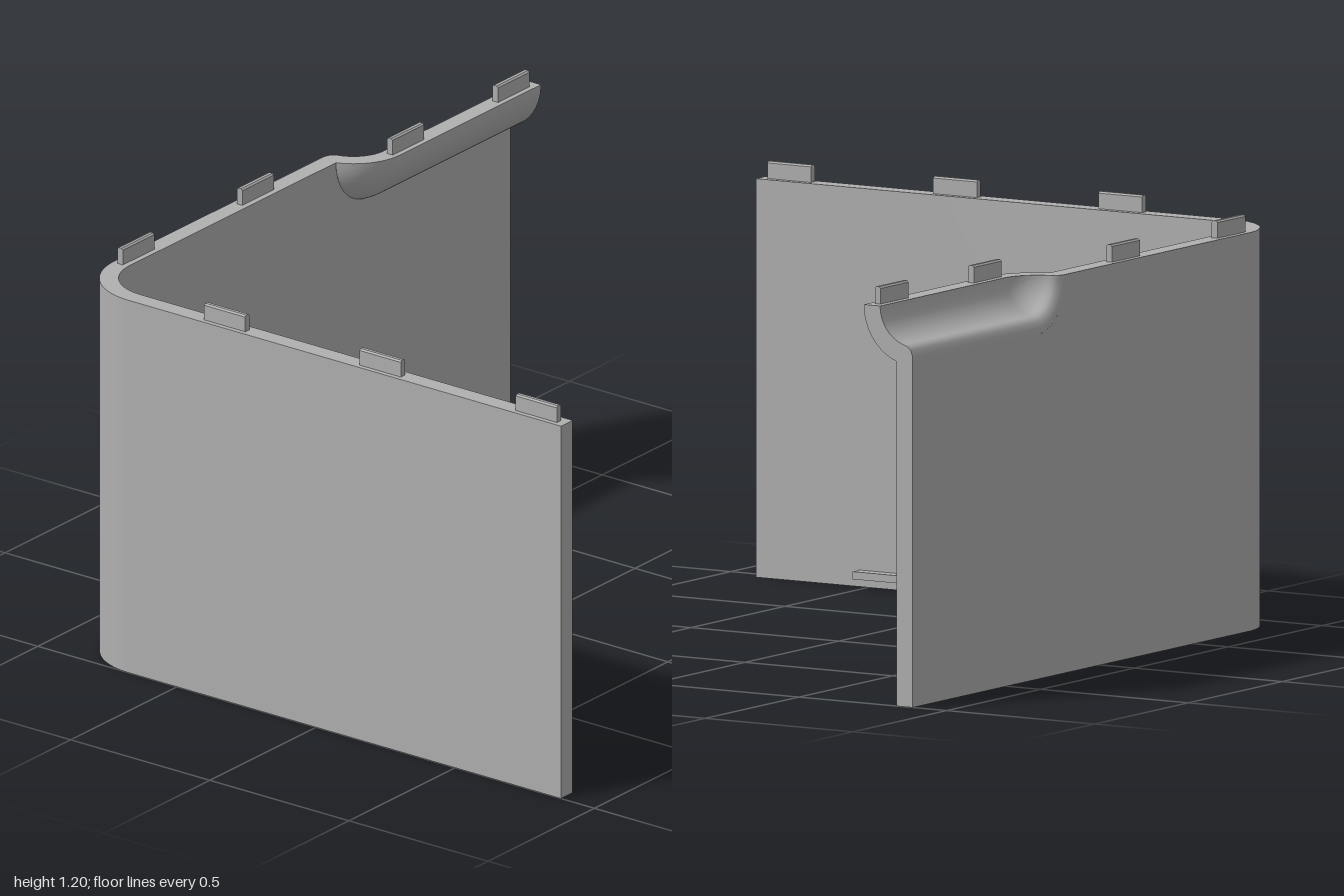
import * as THREE from 'three';
import { toCreasedNormals } from 'three/addons/utils/BufferGeometryUtils.js';

const H = 1.15, T = 0.055, BACK = -0.885, FRONT = 0.88;
const GX = 0.335;      // where the straight groove turns into its rounded end
const R_OUT = 0.165, R_IN = 0.11;
const R_CUT = Math.sqrt(R_OUT * R_OUT - T * T);

// Surface from a point function over a grid of nu x nv cells
function grid(point, nu, nv, flip = false) {
  const pos = [];
  for (let u = 0; u < nu; u++) {
    for (let v = 0; v < nv; v++) {
      const a = point(u, v), b = point(u, v + 1), c = point(u + 1, v + 1), d = point(u + 1, v);
      const tris = flip ? [a, d, b, b, d, c] : [a, b, d, b, c, d];
      tris.forEach((p) => pos.push(...p));
    }
  }
  const g = new THREE.BufferGeometry();
  g.setAttribute('position', new THREE.Float32BufferAttribute(pos, 3));
  return toCreasedNormals(g, 0.6);
}

export function createModel() {
  const model = new THREE.Group();
  model.name = 'cornerPanel';
  const grey = new THREE.MeshStandardMaterial({ color: 0xb0b0b0 });
  grey.name = 'grey';

  const add = (name, geometry, parent = model) => {
    const mesh = new THREE.Mesh(geometry, grey);
    mesh.name = name;
    parent.add(mesh);
    return mesh;
  };

  // Back wall, with the top right cut away for the groove
  const back = new THREE.Shape();
  back.moveTo(-0.79, 0);
  back.lineTo(1, 0);
  back.lineTo(1, H - R_CUT);
  back.lineTo(GX, H - R_CUT);
  back.absarc(GX, H, R_CUT, -Math.PI / 2, -Math.PI, true);
  back.lineTo(-0.79, H);
  const backGeo = new THREE.ExtrudeGeometry(back, { depth: T, bevelEnabled: false, curveSegments: 16 });
  backGeo.translate(0, 0, BACK);
  add('backWall', toCreasedNormals(backGeo, 0.5));

  // Side wall and rounded corner, drawn in plan and raised
  const side = new THREE.Shape();
  side.moveTo(-1, -FRONT);
  side.lineTo(-1 + T, -FRONT);
  side.lineTo(-1 + T, 0.675);
  side.absarc(-0.79, 0.675, 0.155, Math.PI, Math.PI / 2, true);
  side.lineTo(-0.79, -BACK);
  side.absarc(-0.79, 0.675, 0.21, Math.PI / 2, Math.PI, false);
  const sideGeo = new THREE.ExtrudeGeometry(side, { depth: H, bevelEnabled: false, curveSegments: 24 });
  sideGeo.rotateX(-Math.PI / 2);
  add('sideWallAndCorner', toCreasedNormals(sideGeo, 0.5));

  // Groove cross-sections as [distance from axis, depth from the back face]
  const N = 16, M = 16;
  const inner = [[R_CUT, 0], [0.138, 0], [0.121, 0.006], [0.11, 0.018]];
  const outer = [];
  const k = N + 1 - inner.length;
  const a0 = Math.asin(0.03 / R_IN), b0 = Math.asin(T / R_OUT);
  for (let i = 0; i < k; i++) {
    const a = a0 + (Math.PI / 2 - a0) * i / (k - 1);
    inner.push([R_IN * Math.cos(a), R_IN * Math.sin(a)]);
  }
  for (let i = 0; i <= N; i++) {
    const a = b0 + (Math.PI / 2 - b0) * i / N;
    outer.push([R_OUT * Math.cos(a), R_OUT * Math.sin(a)]);
  }
  // Row 0 is the open end; rows 1 onward turn around the rounded end
  const place = (row, [r, d]) => {
    const a = Math.max(0, row - 1) / M * Math.PI / 2;
    return [(row === 0 ? 1 : GX) - r * Math.sin(a), H - r * Math.cos(a), BACK + d];
  };
  const both = [inner, outer];
  const groove = new THREE.Group();
  groove.name = 'groove';
  model.add(groove);
  add('grooveFront', grid((s, i) => place(s, outer[i]), M + 1, N), groove);
  add('grooveHollow', grid((s, i) => place(s, inner[i]), M + 1, N, true), groove);
  add('grooveLip', grid((s, j) => place(s, both[j][N]), 1, 1, true), groove);
  add('grooveOpenEnd', grid((j, i) => place(0, both[j][i]), 1, N), groove);
  add('grooveRoundedTop', grid((i, j) => place(M + 1, both[j][i]), N, 1), groove);

  // Upright tabs along the top edge, with chamfered tops
  const L = 0.148, W = 0.01, C = 0.005;
  const tabShape = new THREE.Shape([
    [-W, -0.01], [W, -0.01], [W, 0.05 - C], [W - C, 0.05], [C - W, 0.05], [-W, 0.05 - C],
  ].map(([x, y]) => new THREE.Vector2(x, y)));
  const tabGeo = new THREE.ExtrudeGeometry(tabShape, { depth: L, bevelEnabled: false });
  tabGeo.translate(0, 0, -L / 2);
  for (const [x, z] of [[-0.725, -0.858], [-0.163, -0.858], [0.397, -0.746], [0.893, -0.746]]) {
    const tab = add('backTopTab', tabGeo);
    tab.position.set(x, H, z);
    tab.rotation.y = Math.PI / 2;
  }
  for (const z of [-0.34, 0.219, 0.78]) add('sideTopTab', tabGeo).position.set(-0.975, H, z);

  // Small ledges along the bottom of the inner faces
  const ledgeGeo = new THREE.BoxGeometry(L, 0.022, 0.048);
  for (const x of [-0.372, 0.5]) add('backLedge', ledgeGeo).position.set(x, 0.037, -0.818);
  for (const z of [-0.291, 0.455]) {
    const ledge = add('sideLedge', ledgeGeo);
    ledge.position.set(-0.931, 0.037, z);
    ledge.rotation.y = Math.PI / 2;
  }
  return model;
}
